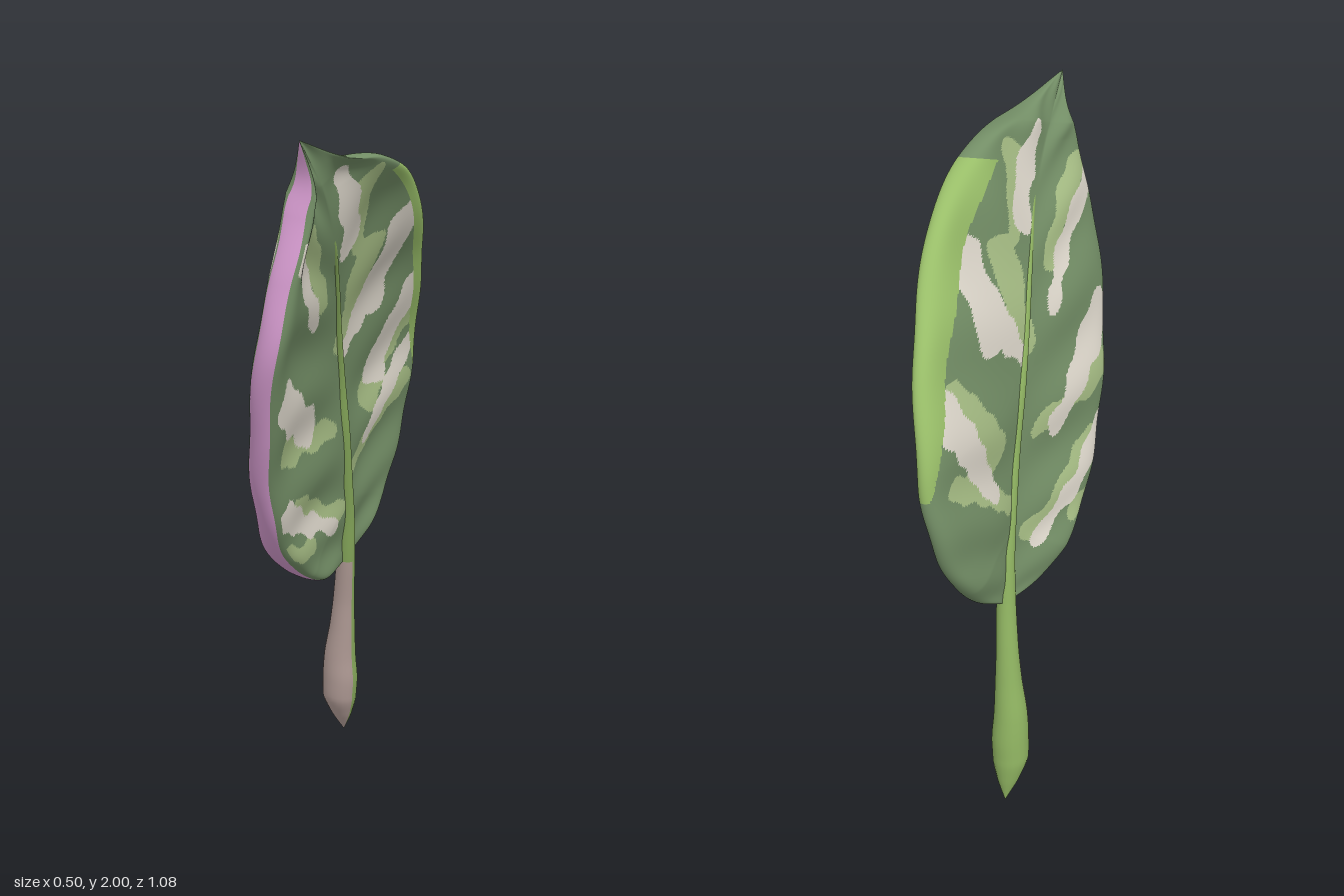
import * as THREE from 'three';

const V = (x, y, z) => new THREE.Vector3(x, y, z);
const curve = (pts) => new THREE.CatmullRomCurve3(pts.map((p) => V(...p)));
const mat = (name, color) => new THREE.MeshStandardMaterial({ name, color });

// Directions of the blade: upper face, and across toward the back margin
const UP = V(-0.9, 0.15, -0.4).normalize();
const ACROSS = V(0.41, 0.08, -0.91).normalize();

// Midrib and the two margins, from leaf base to leaf tip
const BASE = [0.02, 0.65, -0.275], TIP = [-0.1, 2, 0.52];
const rib = curve([BASE, [0.02, 0.8, -0.23], [0.015, 0.94, -0.18], [0.008, 1.1, -0.12], [-0.005, 1.27, -0.06],
  [-0.013, 1.43, 0.03], [-0.017, 1.58, 0.14], [-0.022, 1.71, 0.26], [-0.045, 1.84, 0.38], [-0.07, 1.92, 0.45], TIP]);
const backMargin = curve([BASE, [0.095, 0.75, -0.39], [0.155, 0.92, -0.5], [0.2, 1.1, -0.54], [0.225, 1.29, -0.53],
  [0.24, 1.52, -0.425], [0.24, 1.7, -0.265], [0.205, 1.865, -0.06], [0.115, 1.945, 0.18], [0.005, 1.955, 0.38], TIP]);
const frontMargin = curve([BASE, [-0.07, 0.635, -0.1], [-0.155, 0.72, 0.08], [-0.195, 0.83, 0.24], [-0.217, 1.0, 0.355],
  [-0.217, 1.2, 0.445], [-0.193, 1.43, 0.525], [-0.15, 1.63, 0.525], [-0.11, 1.8, 0.495], [-0.09, 1.9, 0.487], TIP]);

// Variegation: tapered streaks as [z1, y1, r1, z2, y2, r2], some differing by face
const creamBoth = [
  [0.27, 0.93, 0.045, -0.14, 0.79, 0.022], [0.33, 1.89, 0.03, 0.16, 1.7, 0.045],
  [-0.12, 1.52, 0.06, -0.03, 1.36, 0.025],
];
const creamUpper = [...creamBoth,
  [0.38, 1.28, 0.067, 0.05, 1.09, 0.04], [0.49, 1.69, 0.045, 0.14, 1.42, 0.02],
  [-0.12, 1.72, 0.075, -0.13, 1.52, 0.078], [-0.44, 1.45, 0.06, -0.29, 1.07, 0.032],
];
const creamLower = [...creamBoth,
  [0.38, 1.28, 0.067, 0.11, 1.15, 0.052], [0.49, 1.69, 0.047, 0.23, 1.48, 0.027],
  [-0.08, 1.74, 0.057, -0.12, 1.52, 0.075], [-0.33, 1.53, 0.052, -0.29, 1.27, 0.067],
  [-0.46, 1.33, 0.032, -0.29, 1.06, 0.027],
];
const paleStreaks = [
  [0.2, 0.94, 0.04, -0.16, 0.83, 0.03], [0.3, 1.13, 0.055, -0.04, 1.12, 0.03],
  [0.44, 1.73, 0.04, 0.22, 1.53, 0.035], [0.03, 1.66, 0.06, -0.01, 1.4, 0.05],
  [-0.37, 1.42, 0.06, -0.26, 1.18, 0.055], [-0.45, 1.2, 0.04, -0.22, 0.98, 0.025],
  [0.22, 1.88, 0.035, 0.1, 1.68, 0.035], [0.2, 0.8, 0.025, 0.02, 0.77, 0.028],
];
function inStreak(p, streaks) {
  const wobble = 0.008 * Math.sin(p.z * 37 + p.y * 23) + 0.005 * Math.sin(p.y * 51 - p.z * 43);
  return streaks.some(([z1, y1, r1, z2, y2, r2]) => {
    const dz = z2 - z1, dy = y2 - y1;
    const t = THREE.MathUtils.clamp(((p.z - z1) * dz + (p.y - y1) * dy) / (dz * dz + dy * dy), 0, 1);
    return Math.hypot(p.z - z1 - dz * t, p.y - y1 - dy * t) < r1 + (r2 - r1) * t + wobble;
  });
}

// Closed rings joined along a length; colourOf picks a material index per triangle
function loft(name, rows, cols, pointAt, colourOf, materials) {
  const points = [], buckets = materials.map(() => []);
  for (let i = 0; i <= rows; i++) for (let j = 0; j < cols; j++) points.push(pointAt(i, j));
  const id = (i, j) => i * cols + (j % cols);
  const centre = V(0, 0, 0);
  for (let i = 0; i < rows; i++) for (let j = 0; j < cols; j++) {
    const a = id(i, j), b = id(i + 1, j), c = id(i + 1, j + 1), d = id(i, j + 1);
    for (const tri of [[a, b, d], [b, c, d]]) {
      centre.set(0, 0, 0);
      tri.forEach((k) => centre.addScaledVector(points[k], 1 / 3));
      buckets[colourOf(i, j, centre)].push(...tri);
    }
  }
  const geo = new THREE.BufferGeometry().setFromPoints(points);
  geo.setIndex(buckets.flat());
  let start = 0;
  buckets.forEach((b, m) => { geo.addGroup(start, b.length, m); start += b.length; });
  geo.computeVertexNormals();
  const mesh = new THREE.Mesh(geo, materials);
  mesh.name = name;
  return mesh;
}

export function createModel() {
  const group = new THREE.Group();
  group.name = 'leaf';
  const green = mat('leaf green', 0x738e66);
  const pale = mat('pale green streak', 0xa8bf86);
  const cream = mat('cream streak', 0xdfd9cd);
  const lime = mat('lime margin', 0x98bd68);
  const pink = mat('pink margin', 0xd69cd0);
  const stemGreen = mat('stem green', 0x8bae5e);
  const stemPink = mat('stem underside', 0xb8a29c);

  // Blade: ring runs upper back half, lower back half, lower front half, upper front half
  const ROWS = 260, K = 64;
  const place = (j) => {
    const quarter = Math.floor(j / K) % 4, t = (j % K) / K;
    return { back: quarter < 2, upper: quarter === 0 || quarter === 3,
      s: Math.sin((Math.PI / 2) * (quarter % 2 ? 1 - t : t)) };
  };
  const blade = loft('blade', ROWS, 4 * K, (i, j) => {
    const u = i / ROWS, { back, upper, s } = place(j);
    const p = rib.getPoint(u).lerp((back ? backMargin : frontMargin).getPoint(u), s);
    const ends = Math.min(1, 2.2 * Math.sin(Math.PI * u));
    // thin beside the midrib, thicker toward a rounded margin, thickest in front
    const half = (0.014 + (back ? 0.026 : 0.046) * s * s) * Math.sqrt(Math.max(0, 1 - s ** 14)) * ends;
    const bulge = Math.sin(Math.PI * s) * ends * (0.014 + 0.008 * Math.sin(u * 42 - s * 5));
    const wave = 0.003 * s * s * ends * Math.sin(u * 48);
    return p.addScaledVector(UP, bulge + wave + (upper ? half : -half));
  }, (i, j, c) => {
    const u = (i + 0.5) / ROWS, { back, upper, s } = place(j + 0.5);
    if (!back && u > 0.1 && s > (upper ? 0.965 : 0.98)) return 4;
    // lime band, widening toward the tip end
    const along = (u - 0.36) / 0.4;
    const band = (upper ? 0.08 + 0.24 * along : 0.15) * Math.sqrt(Math.min(1, Math.max(0, along) * 4));
    if (back && along > 0 && along < 1 && s > 1 - band) return 3;
    if (s > 0.95) return 0;
    if (inStreak(c, upper ? creamUpper : creamLower)) return 2;
    return inStreak(c, paleStreaks) ? 1 : 0;
  }, [green, pale, cream, lime, pink]);
  group.add(blade);

  // Stem with a swollen foot, running on into the midrib: [x, y, z, radius]
  const spine = [
    [0.012, 0, -0.445, 0.002], [0.004, 0.07, -0.42, 0.035], [-0.002, 0.14, -0.398, 0.056], [0, 0.21, -0.383, 0.058],
    [0, 0.3, -0.365, 0.052], [0.007, 0.4, -0.34, 0.042], [0.012, 0.5, -0.315, 0.035], [0.018, 0.65, -0.27, 0.03],
    [0.02, 0.8, -0.23, 0.027], [0.015, 0.94, -0.18, 0.025], [0.008, 1.1, -0.12, 0.024], [-0.005, 1.27, -0.06, 0.023],
    [-0.013, 1.43, 0.03, 0.021], [-0.017, 1.58, 0.14, 0.019], [-0.022, 1.71, 0.26, 0.015], [-0.043, 1.83, 0.37, 0.004],
  ];
  const path = curve(spine), radii = curve(spine.map((p) => [p[3], 0, 0]));
  const SIDES = 20, STEPS = 90;
  const around = (j) => {
    const a = (j / SIDES) * Math.PI * 2;
    return UP.clone().multiplyScalar(Math.cos(a)).addScaledVector(ACROSS, Math.sin(a));
  };
  group.add(loft('stemAndMidrib', STEPS, SIDES,
    (i, j) => path.getPoint(i / STEPS).addScaledVector(around(j), Math.max(0.002, radii.getPoint(i / STEPS).x)),
    (i, j, c) => {
      const d = around(j + 0.5);
      return c.y < 0.64 && d.z - 0.45 * d.x > 0.3 ? 1 : 0;
    }, [stemGreen, stemPink]));
  return group;
}
